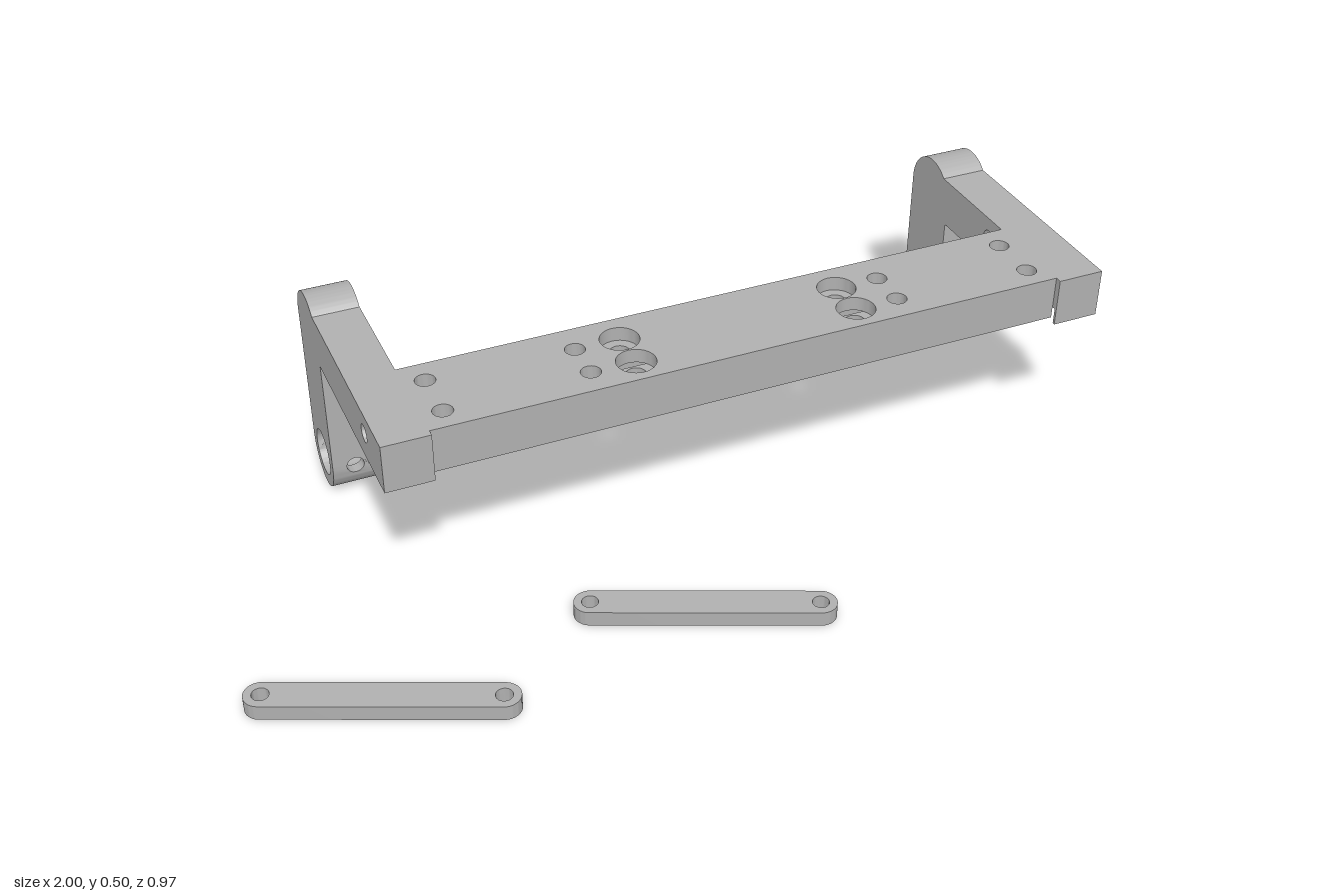
import * as THREE from 'three';
import { toCreasedNormals } from 'three/addons/utils/BufferGeometryUtils.js';

const PI = Math.PI;

// Shape from corner points
function poly(points) {
  return new THREE.Shape(points.map(([x, y]) => new THREE.Vector2(x, y)));
}

// Round (or hexagonal, with sides = 6) hole cut in a shape
function addHole(shape, x, y, r, sides = 32) {
  const pts = [];
  for (let i = 0; i < sides; i++) {
    const a = (i / sides) * 2 * PI;
    pts.push(new THREE.Vector2(x + r * Math.cos(a), y + r * Math.sin(a)));
  }
  shape.holes.push(new THREE.Path(pts));
}

function extrude(shape, depth) {
  return new THREE.ExtrudeGeometry(shape, { depth, bevelEnabled: false, curveSegments: 32 });
}

export function createModel() {
  const model = new THREE.Group();
  model.name = 'mountingBracket';
  const grey = new THREE.MeshStandardMaterial({ color: 0xb0b0b0 });
  grey.name = 'machined grey';

  function add(parent, geometry, name) {
    const mesh = new THREE.Mesh(toCreasedNormals(geometry, 0.5), grey);
    mesh.name = name;
    parent.add(mesh);
    return mesh;
  }

  // Cross bar: three layers, so that bores, nut pockets and the long channel are real
  const x0 = -0.545, x1 = 0.892, zBack = -0.09, zFront = 0.14, channelZ = 0.03, half = 0.018;
  const plainBores = [[-0.5, -0.03], [-0.5, 0.085], [0.85, -0.03], [0.85, 0.085],
    [-0.18, -0.015], [-0.18, 0.075], [0.53, -0.015], [0.53, 0.075]];
  const screwBores = [[-0.08, -0.015], [-0.08, 0.075], [0.43, -0.015], [0.43, 0.075]];

  const bar = new THREE.Group();
  bar.name = 'crossBar';
  model.add(bar);

  function barLayer(name, za, zb, y0, y1, screwRadius, sides) {
    const shape = poly([[x0, -zb], [x1, -zb], [x1, -za], [x0, -za]]);
    const inside = ([, z]) => z > za && z < zb;
    plainBores.filter(inside).forEach(([x, z]) => addHole(shape, x, -z, 0.022));
    screwBores.filter(inside).forEach(([x, z]) => addHole(shape, x, -z, screwRadius, sides));
    add(bar, extrude(shape, y1 - y0).rotateX(-PI / 2).translate(0, y0, 0), name);
  }
  const yLow = 0.427 - half, yHigh = 0.427 + half;
  barLayer('barBottomWithNutPockets', zBack, zFront, 0.375, yLow, 0.036, 6);
  barLayer('barMiddleBack', zBack, channelZ - half, yLow, yHigh, 0.022, 32);
  barLayer('barMiddleFront', channelZ + half, zFront, yLow, yHigh, 0.022, 32);
  barLayer('barTopWithCounterbores', zBack, zFront, yHigh, 0.477, 0.043, 32);

  // End brackets: arm and leg with a ring eye, cross-drilled from front to back
  const eyeZ = -0.406, eyeY = 0.082, R = 0.081, r = 0.054, s = 0.027;

  function bracket(name, xa, xb, notched, sideHoles) {
    const group = new THREE.Group();
    group.name = name;
    model.add(group);
    const w = xb - xa;
    const c = -eyeZ;

    // Arm and leg, down to the cross-drilled band
    const notch = notched ? [[-0.149, 0.365], [-0.149, 0.402], [-0.02, 0.402], [-0.02, 0.365]] : [];
    const upper = poly([[-0.155, 0.365], ...notch, [c - R, 0.365], [c - R, eyeY + s]]);
    const inner = Math.asin(s / r);
    const outer = Math.asin(s / R);
    upper.absarc(c, eyeY, r, PI - inner, inner, true);
    upper.lineTo(c + R, eyeY + s);
    upper.absarc(c, 0.419, R, 0, PI - Math.asin(0.058 / R), false);
    upper.lineTo(-0.155, 0.477);
    sideHoles.forEach((z) => addHole(upper, -z, 0.427, 0.02));
    add(group, extrude(upper, w).rotateY(PI / 2).translate(xa, 0, 0), 'armAndLeg');

    // Lower part of the eye
    const lower = new THREE.Shape();
    lower.absarc(c, eyeY, R, PI + outer, 2 * PI - outer, false);
    lower.absarc(c, eyeY, r, 2 * PI - inner, PI + inner, true);
    add(group, extrude(lower, w).rotateY(PI / 2).translate(xa, 0, 0), 'eyeBottom');

    // Front and back walls of the eye, bent to its radii, with a pin hole
    const edge = [];
    for (let i = 0; i <= 8; i++) edge.push(-s + (i / 8) * 2 * s);
    const band = poly([...edge.map((y) => [w / 2, y]),
      ...edge.slice().reverse().map((y) => [-w / 2, y])]);
    addHole(band, 0, 0.003, 0.02);
    for (const turn of [0, PI]) {
      const wall = extrude(band, 1);
      const p = wall.attributes.position;
      for (let i = 0; i < p.count; i++) {
        const y = p.getY(i);
        const yOut = Math.min(y, 0);
        p.setZ(i, p.getZ(i) < 0.5 ? Math.sqrt(r * r - y * y) : Math.sqrt(R * R - yOut * yOut));
      }
      wall.rotateY(turn).translate((xa + xb) / 2, eyeY, eyeZ);
      add(group, wall, turn ? 'eyeBackWall' : 'eyeFrontWall');
    }
  }
  bracket('rightBracket', -0.65, x0, false, [channelZ]);
  bracket('leftBracket', x1, 1.0, true, [channelZ, -0.138]);

  // Two loose link bars lying in front
  const dx = 0.443, dz = 0.191, linkR = 0.035;
  const length = Math.hypot(dx, dz);
  for (const [name, x] of [['rightLink', -0.965], ['leftLink', -0.265]]) {
    const shape = new THREE.Shape();
    shape.absarc(0, 0, linkR, PI / 2, 1.5 * PI, false);
    shape.absarc(length, 0, linkR, -PI / 2, PI / 2, false);
    addHole(shape, 0, 0, 0.018);
    addHole(shape, length, 0, 0.018);
    const link = add(model, extrude(shape, 0.035).rotateX(-PI / 2), name);
    link.position.set(x, 0, 0.26);
    link.rotation.y = -Math.atan2(dz, dx);
  }
  return model;
}
